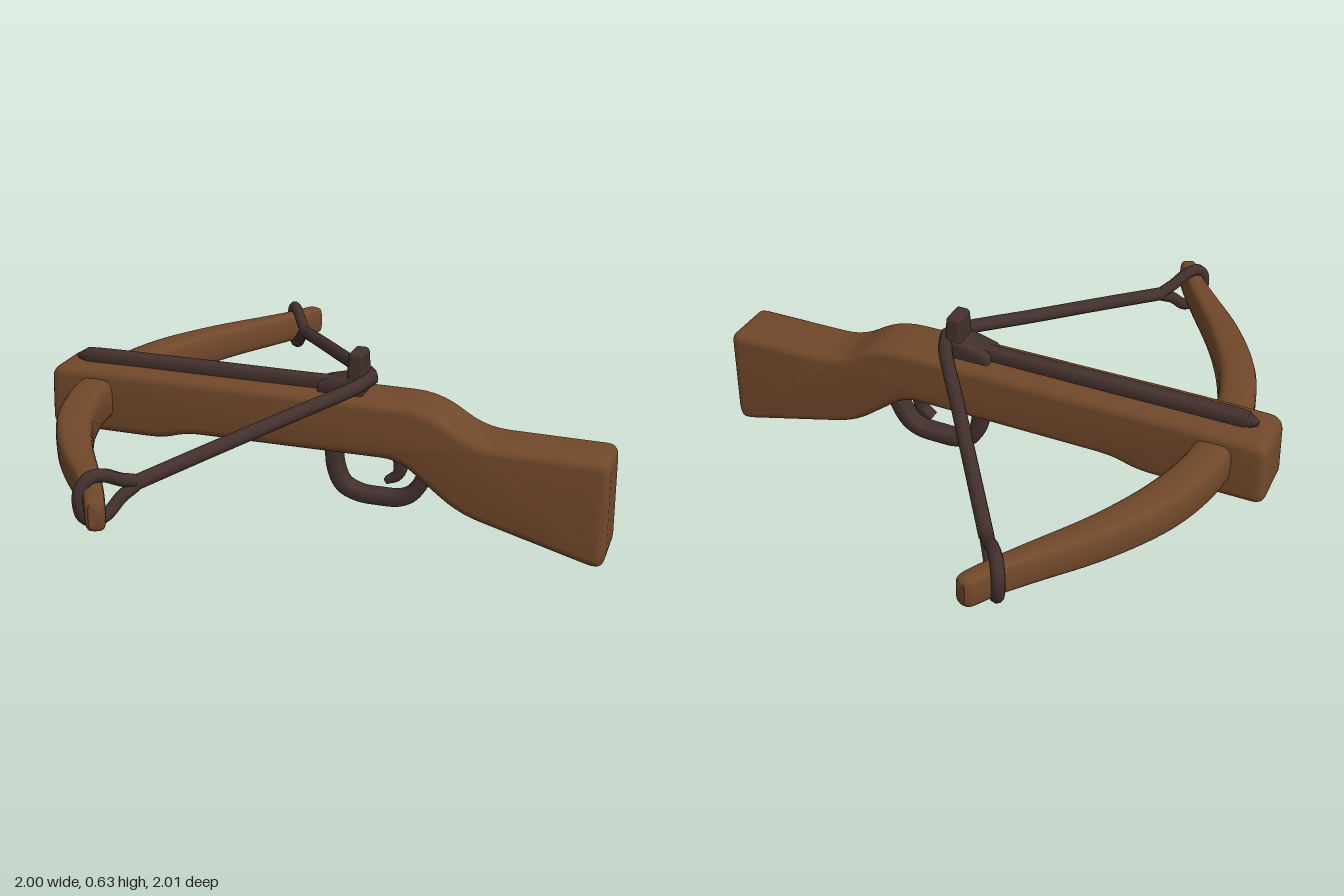
import * as THREE from 'three';
import { toCreasedNormals } from 'three/addons/utils/BufferGeometryUtils.js';
import { RoundedBoxGeometry } from 'three/addons/geometries/RoundedBoxGeometry.js';

const V = (x, y, z) => new THREE.Vector3(x, y, z);

// Outline with every corner rounded; points are [x, y, radius]
function roundedShape(pts) {
  const shape = new THREE.Shape();
  const n = pts.length;
  pts.forEach(([x, y, r = 0.04], i) => {
    const toward = ([px, py]) => {
      const d = Math.hypot(px - x, py - y);
      const k = Math.min(r, d * 0.48) / d;
      return [x + (px - x) * k, y + (py - y) * k];
    };
    const a = toward(pts[(i + n - 1) % n]);
    const b = toward(pts[(i + 1) % n]);
    if (i === 0) shape.moveTo(...a); else shape.lineTo(...a);
    shape.quadraticCurveTo(x, y, ...b);
  });
  shape.closePath();
  return shape;
}

// Side profile extruded across z, with softened edges
function slab(pts, halfWidth, bevel) {
  const geo = new THREE.ExtrudeGeometry(roundedShape(pts), {
    depth: 2 * (halfWidth - bevel), bevelEnabled: true, bevelThickness: bevel,
    bevelSize: bevel, bevelOffset: -bevel, bevelSegments: 4, curveSegments: 5,
  });
  geo.translate(0, 0, bevel - halfWidth);
  return toCreasedNormals(geo, 0.7);
}

// Rounded-rectangle section swept through points [x, y, z, halfU, halfV]; v is a fixed axis
function sweep(pts, v, steps = 40, sides = 20) {
  const path = new THREE.CatmullRomCurve3(pts.map(p => V(p[0], p[1], p[2])), false, 'catmullrom', 0.5);
  const size = new THREE.CatmullRomCurve3(pts.map(p => V(p[3], p[4], 0)), false, 'catmullrom', 0.5);
  const pos = [], idx = [];
  const soft = c => Math.sign(c) * Math.pow(Math.abs(c), 0.5);
  for (let i = 0; i <= steps; i++) {
    const c = path.getPoint(i / steps), s = size.getPoint(i / steps);
    const u = v.clone().cross(path.getTangent(i / steps)).normalize();
    for (let j = 0; j < sides; j++) {
      const a = (j / sides) * Math.PI * 2;
      const p = c.clone().addScaledVector(u, soft(Math.cos(a)) * s.x).addScaledVector(v, soft(Math.sin(a)) * s.y);
      pos.push(p.x, p.y, p.z);
    }
  }
  for (let i = 0; i < steps; i++) {
    for (let j = 0; j < sides; j++) {
      const k = (j + 1) % sides;
      const a = i * sides + j, b = i * sides + k, c = a + sides, d = b + sides;
      idx.push(a, b, d, a, d, c);
    }
  }
  // End caps
  const last = steps * sides;
  for (let j = 1; j < sides - 1; j++) {
    idx.push(0, j + 1, j, last, last + j, last + j + 1);
  }
  const geo = new THREE.BufferGeometry();
  geo.setAttribute('position', new THREE.Float32BufferAttribute(pos, 3));
  geo.setIndex(idx);
  return toCreasedNormals(geo, 0.8);
}

export function createModel() {
  const wood = new THREE.MeshStandardMaterial({ color: 0x71482a });
  wood.name = 'wood';
  const dark = new THREE.MeshStandardMaterial({ color: 0x42302c });
  dark.name = 'darkMetal';
  const model = new THREE.Group();
  model.name = 'crossbow';
  const add = (name, geo, mat) => {
    const mesh = new THREE.Mesh(geo, mat);
    mesh.name = name;
    model.add(mesh);
    return mesh;
  };

  // Stock with thick nose, grip and drooping butt
  add('stock', slab([
    [-1, 0.26], [-0.57, 0.26, 0.06], [-0.48, 0.29, 0.06], [0.29, 0.295, 0.06],
    [0.5, 0.13, 0.08], [0.98, 0, 0.05], [1, 0.04, 0.03], [0.995, 0.382, 0.04],
    [0.55, 0.386, 0.08], [0.39, 0.492, 0.09], [-0.75, 0.495, 0.1], [-0.99, 0.49, 0.05],
  ], 0.105, 0.03), wood);

  // Bow: recurved limbs, thinning toward the tips
  const half = [
    [-0.365, 0.395, 0.995, 0.02, 0.042], [-0.375, 0.395, 0.975, 0.031, 0.053],
    [-0.425, 0.394, 0.89, 0.034, 0.055], [-0.495, 0.393, 0.79, 0.041, 0.057],
    [-0.635, 0.391, 0.595, 0.055, 0.062], [-0.745, 0.389, 0.39, 0.063, 0.068],
    [-0.805, 0.388, 0.19, 0.064, 0.072],
  ];
  const bow = [
    ...half.map(([x, y, z, a, b]) => [x, y, -z, a, b]),
    [-0.82, 0.388, 0, 0.065, 0.073],
    ...half.slice().reverse(),
  ];
  add('bow', sweep(bow, V(0, 1, 0), 84), wood);

  // String, drawn back to the catch
  const stringX = z => -0.45 + (0.925 - Math.abs(z)) * 0.69;
  const string = new THREE.CatmullRomCurve3([
    [0.77, 0.412], [0.55, 0.451], [0.3, 0.493], [0.07, 0.533],
  ].map(([z, y]) => V(stringX(z), y, z)).concat(
    [V(0.155, 0.54, 0.03), V(0.168, 0.541, 0), V(0.155, 0.54, -0.03)],
    [[0.07, 0.533], [0.3, 0.493], [0.55, 0.451], [0.77, 0.412]].map(([z, y]) => V(stringX(z), y, -z))));
  add('string', new THREE.TubeGeometry(string, 90, 0.024, 12), dark);

  // Teardrop loops holding the string on the tips
  for (const side of [1, -1]) {
    const loop = new THREE.CatmullRomCurve3([
      [0.765, 0.412], [0.81, 0.436], [0.86, 0.466], [0.9, 0.467], [0.924, 0.435],
      [0.928, 0.395], [0.918, 0.35], [0.89, 0.328], [0.855, 0.335], [0.81, 0.38],
    ].map(([z, y]) => V(stringX(z), y, side * z)), true);
    add(side > 0 ? 'frontStringLoop' : 'backStringLoop', new THREE.TubeGeometry(loop, 60, 0.021, 10, true), dark);
  }

  // Rail on top of the stock
  add('rail', sweep([
    [-0.93, 0.502, 0, 0.006, 0.01], [-0.9, 0.506, 0, 0.02, 0.02], [-0.84, 0.508, 0, 0.026, 0.028],
    [-0.4, 0.509, 0, 0.026, 0.028], [0, 0.509, 0, 0.027, 0.024], [0.1, 0.515, 0, 0.028, 0.024],
  ], V(0, 0, 1)), dark);

  // Catch block and upright sight
  add('catch', slab([[-0.01, 0.47, 0.01], [0.15, 0.47, 0.01], [0.155, 0.56, 0.02], [0.09, 0.55, 0.02], [-0.01, 0.525, 0.02]], 0.055, 0.012), dark);
  const sight = new RoundedBoxGeometry(0.062, 0.14, 0.108, 3, 0.016);
  const p = sight.attributes.position;
  for (let i = 0; i < p.count; i++) {
    const k = 1 - 0.18 * Math.max(0, p.getY(i) / 0.07);
    p.setX(i, p.getX(i) * k);
    p.setZ(i, p.getZ(i) * k);
  }
  add('sight', sight, dark).position.set(0.124, 0.57, 0);

  // Trigger guard
  add('triggerGuard', sweep([
    [0.038, 0.31, 0, 0.028, 0.036], [0.042, 0.22, 0, 0.028, 0.036], [0.07, 0.148, 0, 0.027, 0.036],
    [0.13, 0.118, 0, 0.026, 0.036], [0.2, 0.114, 0, 0.026, 0.036], [0.28, 0.12, 0, 0.026, 0.036],
    [0.335, 0.16, 0, 0.027, 0.036], [0.385, 0.26, 0, 0.028, 0.036],
  ], V(0, 0, 1)), dark);

  // Curved trigger
  add('trigger', sweep([
    [0.262, 0.31, 0, 0.026, 0.024], [0.278, 0.25, 0, 0.024, 0.024],
    [0.268, 0.205, 0, 0.02, 0.022], [0.228, 0.178, 0, 0.012, 0.02],
  ], V(0, 0, 1), 24, 16), dark);

  return model;
}
